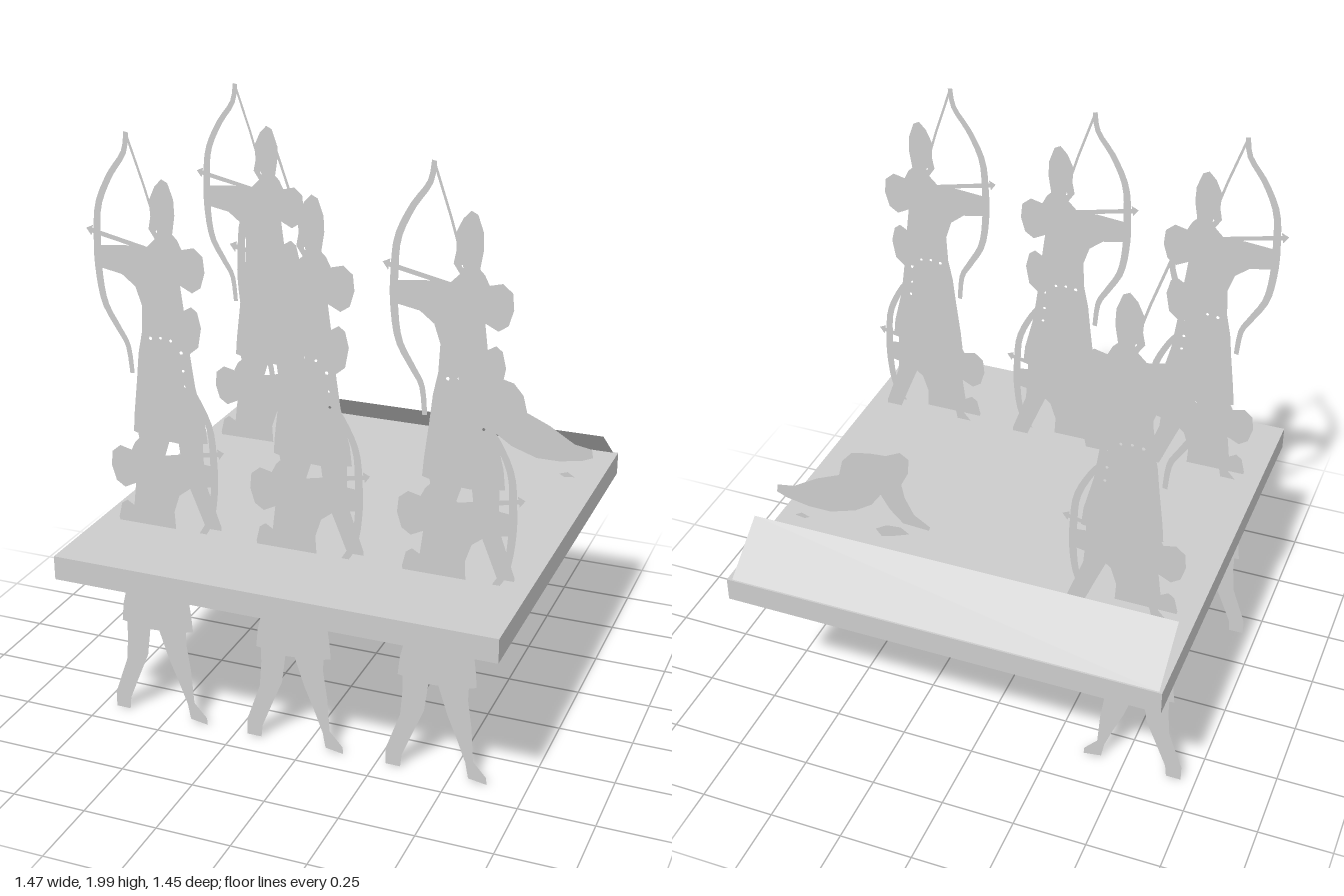
import * as THREE from 'three';

const grey = new THREE.MeshStandardMaterial({ color: 0xcccccc });
grey.name = 'plain grey';
const greySheet = new THREE.MeshStandardMaterial({ color: 0xcccccc, side: THREE.DoubleSide });
greySheet.name = 'plain grey sheet';

const vecs = (pts) => pts.map(([x, y]) => new THREE.Vector2(x, y));

function add(parent, name, geometry, material = greySheet) {
  const mesh = new THREE.Mesh(geometry, material);
  mesh.name = name;
  parent.add(mesh);
  return mesh;
}

// Flat cutout with optional small round holes [x, y, radius]
function cutout(pts, holes = []) {
  const shape = new THREE.Shape(vecs(pts));
  for (const [x, y, r] of holes) {
    shape.holes.push(new THREE.Path().absarc(x, y, r, 0, Math.PI * 2, true));
  }
  return new THREE.ShapeGeometry(shape, 3);
}

// Flat ribbon along a smooth path, tapered towards both ends
function ribbon(pts, width, taper = 0, steps = 28) {
  const path = new THREE.SplineCurve(vecs(pts));
  const left = [], right = [];
  for (let i = 0; i <= steps; i++) {
    const t = i / steps;
    const p = path.getPoint(t), d = path.getTangent(t);
    const w = (width / 2) * (1 - taper * Math.abs(2 * t - 1));
    left.push([p.x - d.y * w, p.y + d.x * w]);
    right.unshift([p.x + d.y * w, p.y - d.x * w]);
  }
  return cutout([...left, ...right]);
}

// Outlines of the standing archer, drawing the bow towards -x
const BODY = [
  [0.03, 1.86], [0.006, 1.835], [-0.015, 1.79], [-0.012, 1.74], [-0.02, 1.70], [0, 1.67],
  [-0.03, 1.64], [-0.1, 1.64], [-0.2, 1.63], [-0.2, 1.56], [-0.12, 1.545], [-0.075, 1.51],
  [-0.055, 1.45], [-0.06, 1.36], [-0.075, 1.29], [-0.085, 1.2], [-0.10, 1.08], [-0.105, 1.02],
  [-0.05, 1.005], [0.05, 1.0], [0.157, 1.015], [0.15, 1.08], [0.12, 1.2], [0.105, 1.31],
  [0.135, 1.335], [0.147, 1.40], [0.135, 1.45], [0.115, 1.465], [0.09, 1.45], [0.08, 1.53],
  [0.12, 1.51], [0.15, 1.53], [0.165, 1.58], [0.16, 1.63], [0.13, 1.655], [0.09, 1.645],
  [0.075, 1.675], [0.06, 1.69], [0.07, 1.75], [0.068, 1.80], [0.05, 1.85],
];
const LEG_BACK = [
  [0.05, 1.03], [0.14, 1.03], [0.14, 0.96], [0.147, 0.87], [0.175, 0.79], [0.196, 0.73],
  [0.196, 0.675], [0.145, 0.675], [0.14, 0.72], [0.1, 0.82], [0.067, 0.90],
];
const LEG_FRONT = [
  [0.03, 1.03], [-0.08, 1.03], [-0.078, 0.97], [-0.092, 0.87], [-0.1, 0.75], [-0.145, 0.70],
  [-0.147, 0.675], [-0.085, 0.685], [-0.075, 0.74], [-0.045, 0.82], [-0.012, 0.90],
];
const BOW = [
  [-0.083, 1.995], [-0.095, 1.93], [-0.147, 1.855], [-0.19, 1.76], [-0.2, 1.655],
  [-0.2, 1.55], [-0.184, 1.445], [-0.14, 1.365], [-0.11, 1.31], [-0.1, 1.22],
];
const HOLES = [
  [0.01, 1.695, 0.006], [-0.03, 1.345, 0.006], [0.005, 1.35, 0.005], [0.04, 1.345, 0.005],
  [0.075, 1.31, 0.006], [0.08, 1.25, 0.005], [0.085, 1.2, 0.005],
];
const ARROW = [
  [-0.237, 1.682], [-0.213, 1.693], [-0.215, 1.683], [0.02, 1.632],
  [0.018, 1.618], [-0.218, 1.668], [-0.22, 1.658],
];

function makeArcher(name) {
  const g = new THREE.Group();
  g.name = name;
  add(g, 'body', cutout(BODY, HOLES));
  add(g, 'rearLeg', cutout(LEG_BACK));
  add(g, 'frontLeg', cutout(LEG_FRONT));
  add(g, 'bow', ribbon(BOW, 0.026, 0.4));
  add(g, 'bowstring', ribbon([[-0.083, 1.99], [-0.03, 1.835], [0.017, 1.68]], 0.008, 0, 2));
  add(g, 'arrow', cutout(ARROW));
  return g;
}

export function createModel() {
  const model = new THREE.Group();
  model.name = 'archerDisplay';

  // Square base board
  add(model, 'board', new THREE.BoxGeometry(1.452, 0.08, 1.452), grey).position.set(0.011, 0.676, 0);

  // Sloping panel, low at the back edge and leaning forward
  const rise = 0.13, run = 0.175;
  const panel = add(model, 'slopingPanel', new THREE.PlaneGeometry(1.425, Math.hypot(rise, run)));
  panel.rotation.set(Math.atan2(run, rise), 0, 0);
  panel.position.set(0.008, 0.716 + rise / 2, -0.545 - run / 2);

  // Pairs of archers: one on the board, one mirrored and lower, cutting through it
  const spots = [[-0.5, 0.37, 0.41], [-0.01, 0.37, 0.41], [0.48, 0.37, 0.41], [-0.5, -0.41, -0.37]];
  for (const [x, zUpper, zLower] of spots) {
    const upper = makeArcher('upperArcher');
    upper.position.set(x, 0, zUpper);
    const lower = makeArcher('lowerArcher');
    lower.scale.x = -1;
    lower.position.set(x - 0.005, -0.673, zLower);
    model.add(upper, lower);
  }

  // Fallen figure propped on one arm
  const fallen = new THREE.Group();
  fallen.name = 'fallenFigure';
  fallen.position.z = -0.385;
  add(fallen, 'fallenBody', cutout([
    [0.24, 1.085], [0.27, 1.105], [0.32, 1.08], [0.38, 1.075], [0.44, 1.06], [0.475, 1.02],
    [0.49, 0.96], [0.57, 0.925], [0.66, 0.87], [0.72, 0.86], [0.725, 0.83], [0.69, 0.815],
    [0.61, 0.80], [0.53, 0.80], [0.44, 0.83], [0.38, 0.87], [0.345, 0.92], [0.315, 0.87],
    [0.27, 0.825], [0.18, 0.82], [0.175, 0.835], [0.23, 0.87], [0.26, 0.93], [0.27, 0.98],
    [0.245, 1.03],
  ]));
  add(fallen, 'droppedItem', cutout([
    [0.25, 0.785], [0.28, 0.805], [0.33, 0.80], [0.37, 0.775], [0.35, 0.75], [0.30, 0.765],
  ]));
  add(fallen, 'droppedScrap', cutout([[0.61, 0.755], [0.64, 0.765], [0.665, 0.75], [0.63, 0.745]]));
  model.add(fallen);

  // Spill lying on the board, drawn as (x, -z)
  const spill = new THREE.Group();
  spill.name = 'spill';
  spill.rotation.x = -Math.PI / 2;
  spill.position.y = 0.728;
  add(spill, 'puddle', cutout([
    [-0.06, 0.66], [-0.08, 0.6], [-0.07, 0.545], [-0.11, 0.51], [-0.115, 0.42], [-0.13, 0.36],
    [-0.11, 0.28], [-0.115, 0.2], [-0.08, 0.17], [-0.04, 0.18], [-0.03, 0.1], [-0.012, 0.09],
    [-0.005, 0.19], [-0.01, 0.28], [0.02, 0.29], [0.035, 0.37], [0.055, 0.46], [0.02, 0.47],
    [0.03, 0.56], [0.0, 0.67],
  ]));
  for (const [x, y] of [[0.09, 0.35], [0.145, 0.435], [0.08, 0.29]]) {
    const drop = add(spill, 'droplet', new THREE.CircleGeometry(0.008, 8));
    drop.position.set(x, y, 0);
  }
  model.add(spill);
  return model;
}
